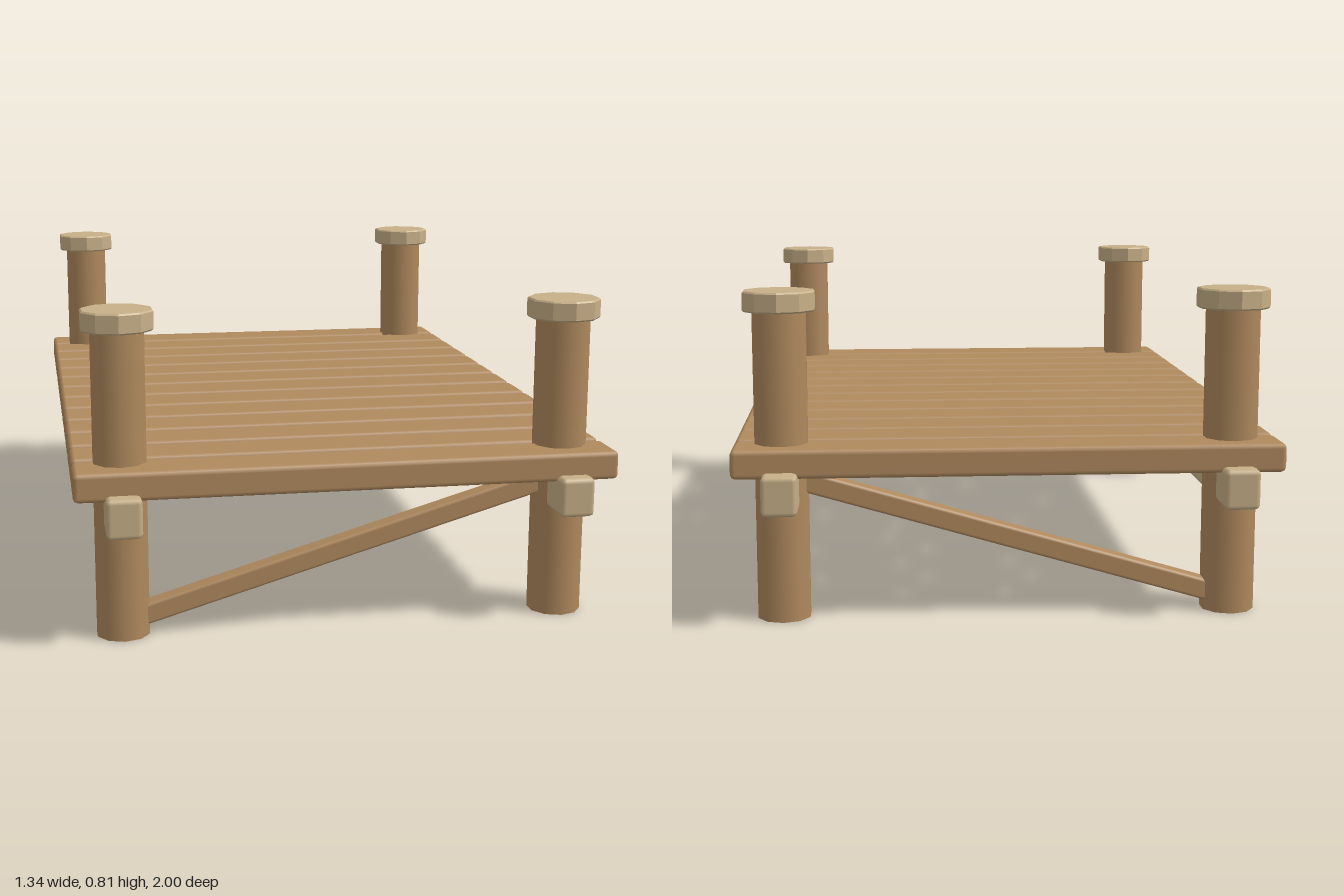
import * as THREE from 'three';
import { RoundedBoxGeometry } from 'three/addons/geometries/RoundedBoxGeometry.js';

export function createModel() {
  const group = new THREE.Group();
  const wood = new THREE.MeshStandardMaterial({ color: 0xb08a5e });
  const paleWood = new THREE.MeshStandardMaterial({ color: 0xc8b088 });
  const paleFlat = new THREE.MeshStandardMaterial({ color: 0xc8b088, flatShading: true });

  const postX = 0.553, postZ = 0.842;

  function add(name, geometry, material, x, y, z) {
    const mesh = new THREE.Mesh(geometry, material);
    mesh.name = name;
    mesh.position.set(x, y, z);
    group.add(mesh);
    return mesh;
  }

  // Deck planks with chamfered edges
  const plankGeo = new RoundedBoxGeometry(1.34, 0.071, 0.13, 1, 0.012);
  for (let i = -6; i <= 6; i++) add('plank', plankGeo, wood, 0, 0.4, 0.004 + i * 0.1485);

  // Long beams under the deck
  const beamGeo = new RoundedBoxGeometry(0.086, 0.098, 2, 1, 0.012);
  for (const s of [-1, 1]) add('beam', beamGeo, paleWood, s * postX, 0.332, 0);

  // Corner posts with ten-sided caps
  const postGeo = new THREE.CylinderGeometry(0.067, 0.067, 0.77, 10);
  const r = 0.09, h = 0.05, b = 0.004;
  const capProfile = [[0, 0], [r - b, 0], [r, b], [r, h - b], [r - b, h], [0, h]];
  const capGeo = new THREE.LatheGeometry(capProfile.map(([x, y]) => new THREE.Vector2(x, y)), 10);
  for (const sx of [-1, 1]) {
    for (const sz of [-1, 1]) {
      add('post', postGeo, wood, sx * postX, 0.385, sz * postZ);
      add('postCap', capGeo, paleFlat, sx * postX, 0.756, sz * postZ);
    }
  }

  // Diagonal braces between the posts at each end
  const braceGeo = new RoundedBoxGeometry(1.06, 0.052, 0.052, 1, 0.008);
  for (const s of [-1, 1]) {
    add('brace', braceGeo, wood, 0, 0.195, s * postZ).rotation.z = Math.atan2(0.287, 0.98);
  }

  return group;
}
